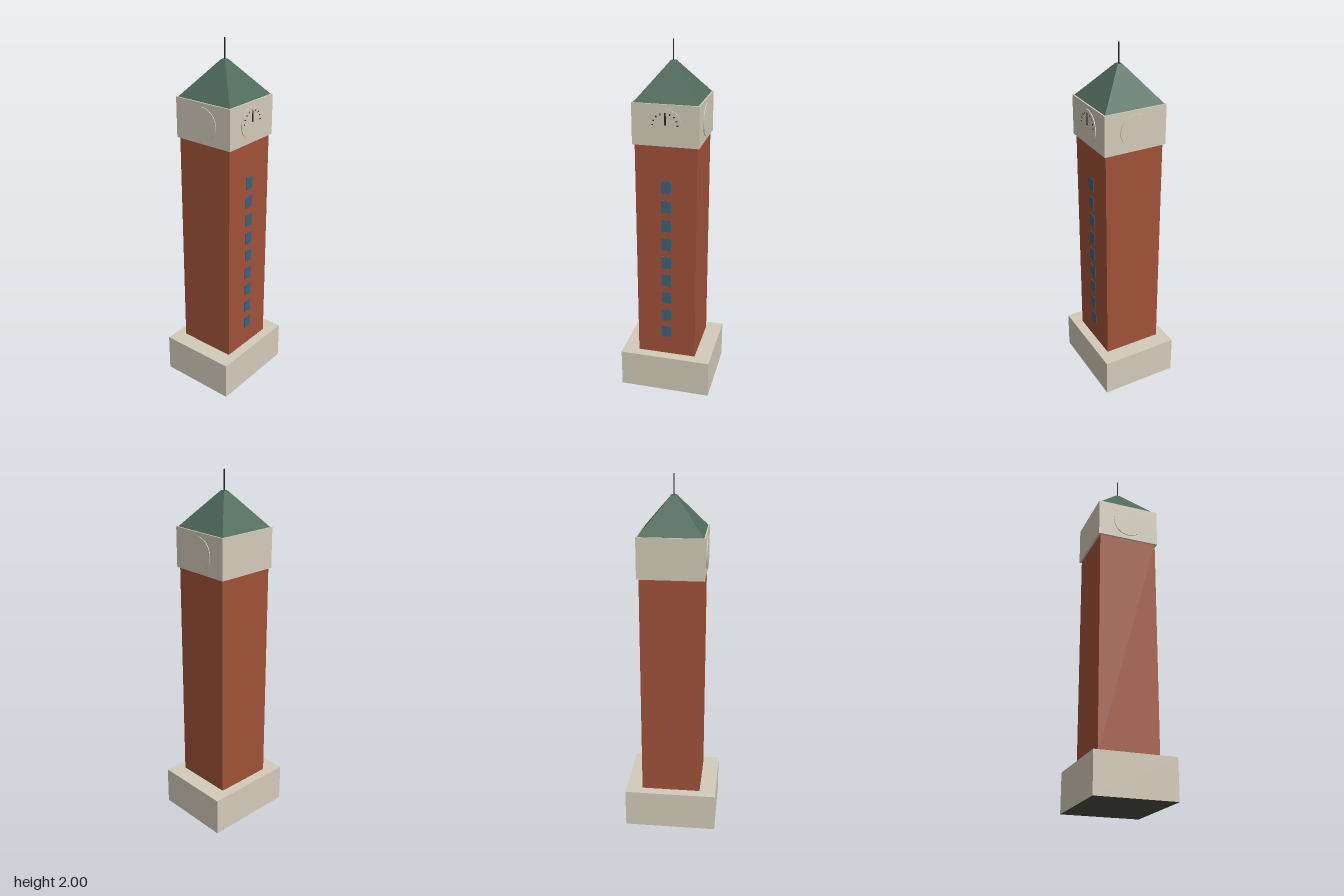
import * as THREE from 'three';

export function createModel() {
  const group = new THREE.Group();
  const mat = (name, color) => Object.assign(new THREE.MeshStandardMaterial({ color }), { name });
  const stone = mat('stone', 0xd3cbba);
  const brick = mat('brick', 0xa05238);
  const copper = mat('green copper', 0x4e6a5b);
  const glass = mat('window blue', 0x3c6378);
  const dark = mat('dark metal', 0x242626);
  const footing = mat('dark footing', 0x4c4b44);

  const add = (name, geometry, material, x, y, z, parent = group) => {
    const mesh = new THREE.Mesh(geometry, material);
    mesh.name = name;
    mesh.position.set(x, y, z);
    parent.add(mesh);
    return mesh;
  };
  const box = (w, h, d) => new THREE.BoxGeometry(w, h, d);

  // Plinth with a dark underside, shaft and clock storey
  const sides = [stone, stone, stone, footing, stone, stone];
  add('plinth', box(0.52, 0.22, 0.444), sides, 0, 0.11, 0);
  add('shaft', box(0.334, 1.27, 0.334), brick, 0, 0.855, 0);
  add('clockStorey', box(0.356, 0.22, 0.356), stone, 0, 1.594, 0);

  // Pyramid roof with a small flat top, and its spire
  const roof = new THREE.CylinderGeometry(0.013 * Math.SQRT2, 0.17 * Math.SQRT2, 0.188, 4).toNonIndexed();
  roof.rotateY(Math.PI / 4);
  roof.computeVertexNormals();
  add('roof', roof, copper, 0, 1.798, 0);
  add('spire', new THREE.CylinderGeometry(0.003, 0.003, 0.108, 8), dark, 0, 1.946, 0);

  // Column of windows up the front
  for (let i = 0; i < 9; i++) {
    add('window', box(0.053, 0.07, 0.006), glass, 0, 0.368 + i * 0.111, 0.167);
  }

  // Clock dials on the front and both sides
  const dial = new THREE.CylinderGeometry(0.088, 0.088, 0.01, 40).rotateX(Math.PI / 2);
  for (const turn of [-1, 0, 1]) {
    const clock = new THREE.Group();
    clock.name = 'clock';
    clock.rotation.y = turn * Math.PI / 2;
    clock.position.y = 1.594;
    group.add(clock);
    add('dial', dial, stone, 0, 0, 0.1775, clock);
    if (turn !== 0) continue;
    // Hour marks over the upper half, with a long and a short hand pointing up
    for (let i = 0; i <= 8; i++) {
      const a = i * Math.PI / 8;
      const mark = add('hourMark', box(0.01, 0.006, 0.002), dark,
        0.066 * Math.cos(a), 0.004 + 0.06 * Math.sin(a), 0.182, clock);
      mark.rotation.z = a;
    }
    add('longHand', box(0.006, 0.06, 0.003), dark, 0, 0.034, 0.183, clock);
    add('shortHand', box(0.01, 0.045, 0.003), dark, 0, 0.027, 0.1825, clock);
  }
  return group;
}
